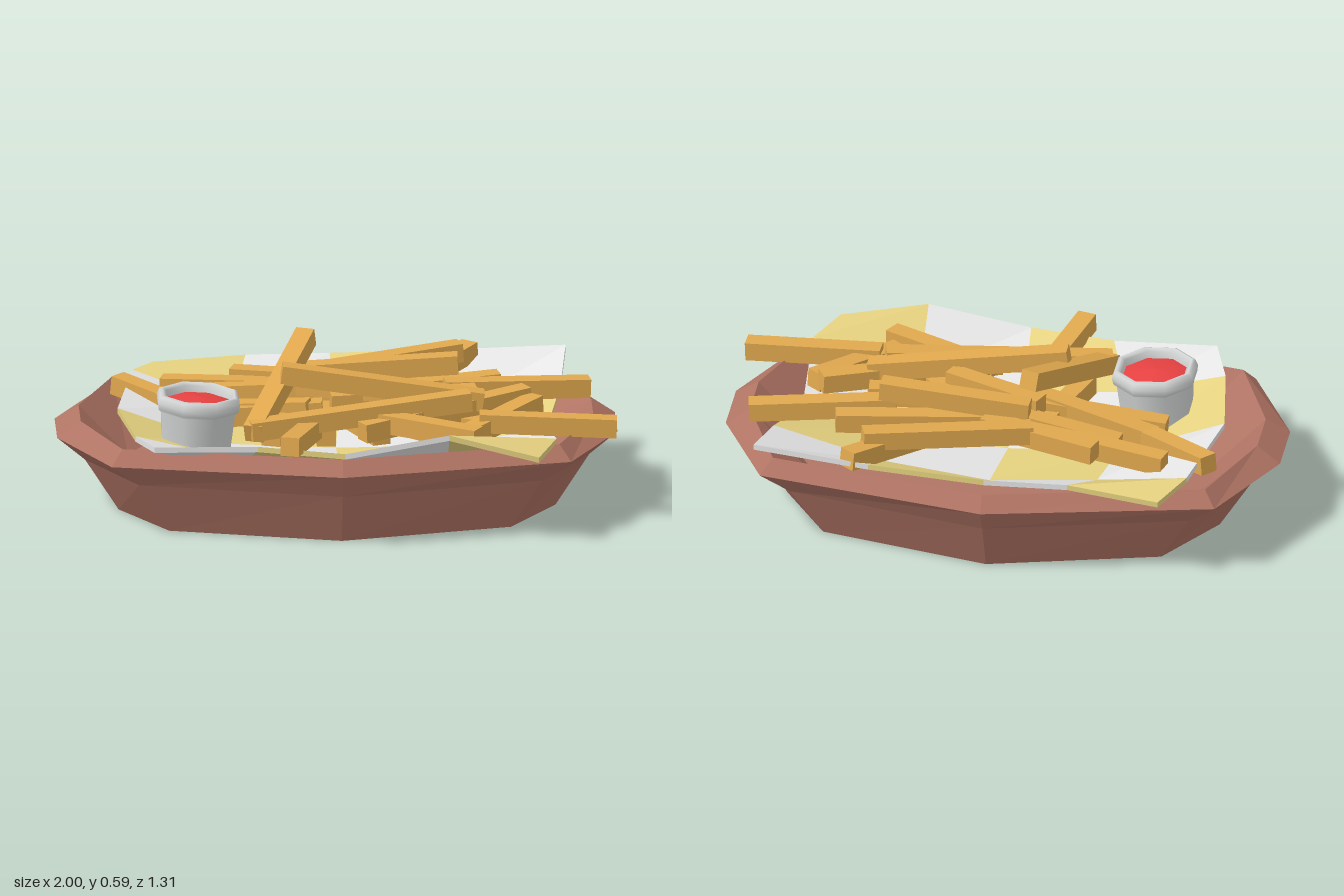
import * as THREE from 'three';

const mat = (name, color, flatShading = true) => {
  const m = new THREE.MeshStandardMaterial({ color, flatShading });
  m.name = name;
  return m;
};

const flatGeometry = (positions) => {
  const g = new THREE.BufferGeometry();
  g.setAttribute('position', new THREE.Float32BufferAttribute(positions, 3));
  g.computeVertexNormals();
  return g;
};

// Ten-sided basket shell: rings run from the base, over the rim and down to the floor.
function basketGeometry() {
  // y, end x, end z, corner x, corner z, middle z
  const sections = [
    [0, 0, 0, 0, 0, 0],
    [0, 0.78, 0.1, 0.61, 0.37, 0.52],
    [0.19, 0.9, 0.11, 0.72, 0.435, 0.605],
    [0.275, 1, 0.12, 0.82, 0.49, 0.655],
    [0.33, 0.915, 0.1, 0.78, 0.45, 0.61],
    [0.15, 0.74, 0.08, 0.6, 0.33, 0.46],
    [0.15, 0, 0, 0, 0, 0],
  ];
  const rings = sections.map(([y, ex, ez, cx, cz, mz]) => [
    [ex, ez], [cx, cz], [0, mz], [-cx, cz], [-ex, ez],
    [-ex, -ez], [-cx, -cz], [0, -mz], [cx, -cz], [ex, -ez],
  ].map(([x, z]) => [x, y, z]));
  const p = [];
  const last = rings.length - 2;
  for (let j = 0; j <= last; j++) {
    for (let i = 0; i < 10; i++) {
      const k = (i + 1) % 10;
      const a = rings[j][i], b = rings[j][k], c = rings[j + 1][i], d = rings[j + 1][k];
      if (j > 0) p.push(...a, ...c, ...b);
      if (j < last) p.push(...b, ...c, ...d);
    }
  }
  return flatGeometry(p);
}

// Crumpled checked paper: a thick 4 x 4 grid, one geometry group per colour.
function paperGeometry() {
  const rows = [
    [[-0.63, 0.34, -0.59], [-0.3, 0.37, -0.565], [0, 0.37, -0.575], [0.42, 0.385, -0.55], [0.84, 0.41, -0.51]],
    [[-0.71, 0.36, -0.43], [-0.37, 0.26, -0.31], [0.02, 0.22, -0.3], [0.41, 0.24, -0.25], [0.81, 0.34, -0.23]],
    [[-0.78, 0.35, 0.01], [-0.4, 0.21, 0], [0, 0.19, 0], [0.4, 0.2, 0.02], [0.75, 0.27, 0.05]],
    [[-0.73, 0.35, 0.36], [-0.37, 0.26, 0.35], [0, 0.22, 0.36], [0.38, 0.24, 0.38], [0.77, 0.345, 0.43]],
    [[-0.67, 0.365, 0.55], [-0.3, 0.36, 0.54], [0.01, 0.35, 0.61], [0.38, 0.415, 0.61], [0.7, 0.335, 0.63]],
  ];
  const under = ([x, y, z]) => [x, y - 0.02, z];
  const cells = [[], []];
  for (let r = 0; r < 4; r++) {
    for (let c = 0; c < 4; c++) {
      const out = cells[(r + c) % 2];
      const a = rows[r][c], b = rows[r][c + 1], d = rows[r + 1][c], e = rows[r + 1][c + 1];
      const [ua, ub, ud, ue] = [a, b, d, e].map(under);
      out.push(...a, ...d, ...b, ...b, ...d, ...e);
      out.push(...ua, ...ub, ...ud, ...ub, ...ue, ...ud);
      const edge = (p, q) => out.push(...p, ...under(p), ...under(q), ...p, ...under(q), ...q);
      if (r === 0) edge(b, a);
      if (r === 3) edge(d, e);
      if (c === 0) edge(a, d);
      if (c === 3) edge(e, b);
    }
  }
  const g = flatGeometry([...cells[0], ...cells[1]]);
  g.addGroup(0, cells[0].length / 3, 0);
  g.addGroup(cells[0].length / 3, cells[1].length / 3, 1);
  return g;
}

const lathe = (points) =>
  new THREE.LatheGeometry(points.map(([x, y]) => new THREE.Vector2(x, y)), 8, Math.PI / 8);

export function createModel() {
  const model = new THREE.Group();
  model.name = 'basketOfFries';
  const brown = mat('basketBrown', 0xb07464);
  const yellow = mat('paperYellow', 0xe6d280);
  const white = mat('paperWhite', 0xe6e6e6);
  const gold = mat('fryGold', 0xe0a84e);
  const grey = mat('cupGrey', 0xd4d6d6, false);
  const red = mat('sauceRed', 0xe84242, false);

  const add = (name, geometry, material, parent = model) => {
    const mesh = new THREE.Mesh(geometry, material);
    mesh.name = name;
    parent.add(mesh);
    return mesh;
  };

  add('basket', basketGeometry(), brown);
  add('paper', paperGeometry(), [yellow, white]);

  // Eight-sided dip cup with a rolled rim and domed sauce, slightly tilted
  const cup = new THREE.Group();
  cup.name = 'dipCup';
  add('cupShell', lathe([[0, 0], [0.122, 0], [0.128, 0.01], [0.142, 0.175], [0.154, 0.185],
    [0.159, 0.21], [0.15, 0.233], [0.138, 0.238], [0.124, 0.228], [0.12, 0.195]]), grey, cup);
  const sauce = add('sauce', lathe([[0.124, 0], [0.08, 0.014], [0, 0.022]]), red, cup);
  sauce.position.y = 0.202;
  cup.position.set(-0.51, 0.225, 0.2);
  cup.rotation.z = -0.05;
  model.add(cup);

  const pile = new THREE.Group();
  pile.name = 'fries';
  const addFry = (name, x1, y1, z1, x2, y2, z2) => {
    const a = new THREE.Vector3(x1, y1, z1), b = new THREE.Vector3(x2, y2, z2);
    const fry = add(name, new THREE.BoxGeometry(0.068, 0.068, a.distanceTo(b)), gold, pile);
    fry.position.copy(a).add(b).multiplyScalar(0.5);
    fry.lookAt(b);
  };

  // Top fries: start x, y, z and end x, y, z of each stick
  [
    [-0.77, 0.35, -0.3, -0.5, 0.31, -0.05],
    [-0.61, 0.34, -0.3, -0.1, 0.36, -0.17],
    [-0.36, 0.37, -0.31, 0.06, 0.38, -0.17],
    [0.5, 0.39, -0.53, 0.28, 0.35, -0.25],
    [0.46, 0.42, -0.42, -0.12, 0.39, -0.23],
    [-0.43, 0.34, -0.19, 0, 0.38, -0.1],
    [-0.1, 0.43, -0.14, 0.44, 0.465, -0.12],
    [0.59, 0.37, -0.21, 0.05, 0.35, -0.1],
    [0.91, 0.36, -0.16, 0.39, 0.38, -0.08],
    [-0.57, 0.31, 0.02, -0.05, 0.35, 0.05],
    [-0.54, 0.31, -0.07, -0.1, 0.36, 0.08],
    [-0.1, 0.56, -0.16, -0.31, 0.36, 0.38],
    [-0.06, 0.34, 0.17, -0.19, 0.385, 0.63],
    [-0.32, 0.37, 0.37, 0.47, 0.42, 0.19],
    [-0.2, 0.51, 0.13, 0.52, 0.4, 0.13],
    [0.71, 0.37, 0.07, 0.45, 0.34, 0.38],
    [0.08, 0.35, 0.34, 0.68, 0.39, 0.03],
    [0.99, 0.35, 0.31, 0.5, 0.37, 0.29],
    [0.49, 0.36, 0.46, 0.1, 0.37, 0.24],
    [0.22, 0.42, 0.08, -0.13, 0.41, -0.07],
    [0.5, 0.38, -0.01, -0.02, 0.37, 0.04],
  ].forEach((ends, i) => addFry('topFry' + (i + 1), ...ends));

  // Buried fries: a row of sticks under the pile, each turned a little further
  for (let i = 0; i < 5; i++) {
    const x = -0.18 + i * 0.13, angle = 1.9 - i * 0.35;
    const dx = 0.2 * Math.cos(angle), dz = 0.2 * Math.sin(angle);
    addFry('buriedFry' + (i + 1), x - dx, 0.31, 0.1 - dz, x + dx, 0.32, 0.1 + dz);
  }
  model.add(pile);
  return model;
}
